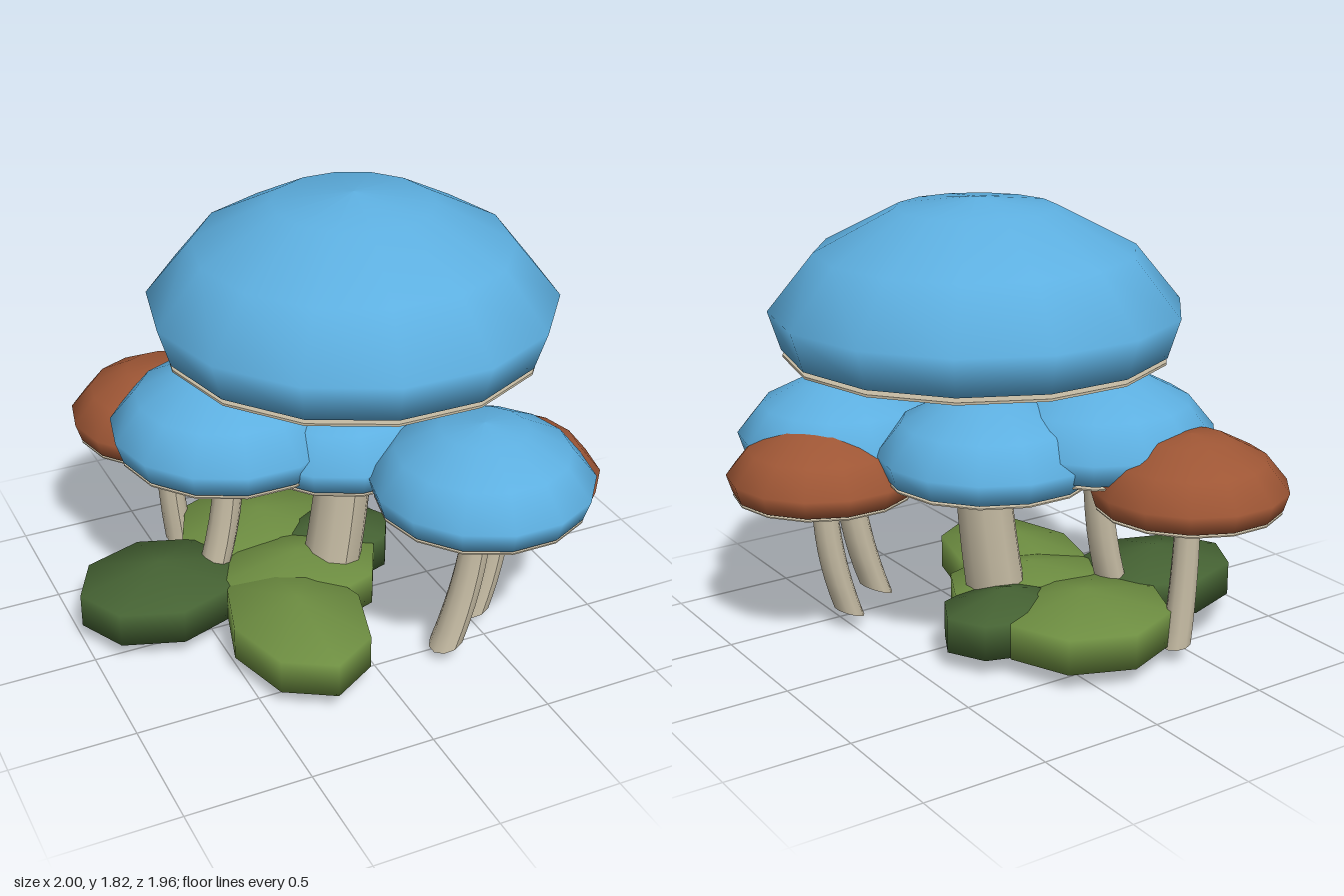
import * as THREE from 'three';

const mat = (name, color) => {
  const m = new THREE.MeshStandardMaterial({ color });
  m.name = name;
  return m;
};

// Unit cap outline, from the underside centre up to the crown
const CAP_PROFILE = [[0, -0.3], [0.56, -0.3], [0.94, -0.19], [1, 0], [0.775, 0.275], [0.39, 0.475], [0, 0.525]]
  .map(([r, y]) => new THREE.Vector2(r, y));

function add(parent, name, geometry, material, x = 0, y = 0, z = 0) {
  const mesh = new THREE.Mesh(geometry, material);
  mesh.name = name;
  mesh.position.set(x, y, z);
  parent.add(mesh);
  return mesh;
}

// Tapered stem whose foot sweeps sideways along x
function stemGeometry(height, rTop, rFoot, sweep) {
  const geo = new THREE.CylinderGeometry(rTop, rFoot, height, 10, 8);
  const p = geo.attributes.position;
  for (let i = 0; i < p.count; i++) {
    const u = 0.5 - p.getY(i) / height; // 0 at the cap, 1 at the foot
    const angle = Math.atan2(-2 * sweep * u, height);
    const x = p.getX(i);
    p.setXY(i, sweep * u * u + x * Math.cos(angle), -u * height - x * Math.sin(angle) * -1);
  }
  geo.computeVertexNormals();
  return geo;
}

export function createModel() {
  const group = new THREE.Group();
  group.name = 'mushroomCluster';

  const blue = mat('capBlue', 0x5dafe0);
  const brown = mat('capBrown', 0x9e5635);
  const cream = mat('stemCream', 0xc6bca4);
  const olive = mat('mossOlive', 0x6d8d41);
  const dark = mat('mossDark', 0x456233);

  // Mushrooms: cap centre, cap radius, stem radii and sideways sweep of the foot
  const mushrooms = [
    { name: 'mainMushroom', at: [0.13, 1.4, 0], r: 0.8, top: 0.1, foot: 0.13, sweep: -0.11, cap: blue },
    { name: 'leaningMushroom', at: [-0.33, 0.863, -0.175], r: 0.475, top: 0.057, foot: 0.075, sweep: -0.12, cap: blue },
    { name: 'middleMushroom', at: [0.1, 0.82, -0.04], r: 0.45, top: 0.06, foot: 0.07, sweep: -0.06, cap: blue },
    { name: 'frontMushroom', at: [0.42, 0.81, 0.55], r: 0.44, top: 0.055, foot: 0.074, sweep: -0.125, cap: blue },
    { name: 'backBrownMushroom', at: [-0.45, 0.735, -0.605], r: 0.39, top: 0.05, foot: 0.06, sweep: 0.04, cap: brown },
    { name: 'sideBrownMushroom', at: [0.61, 0.705, 0.395], r: 0.385, top: 0.05, foot: 0.065, sweep: -0.1, cap: brown },
  ];
  for (const m of mushrooms) {
    const shroom = new THREE.Group();
    shroom.name = m.name;
    shroom.position.set(...m.at);
    group.add(shroom);

    const cap = new THREE.LatheGeometry(CAP_PROFILE, 14, Math.PI / 2);
    cap.scale(m.r, m.r, m.r);
    add(shroom, 'cap', cap, m.cap);

    // Thin pale gill rim under the cap edge
    const rim = new THREE.CylinderGeometry(0.935 * m.r, 0.935 * m.r, 0.012 * m.r, 14);
    rim.rotateY(Math.PI / 2);
    add(shroom, 'gillRim', rim, cream, 0, -0.218 * m.r, 0);

    const stemTop = -0.22 * m.r;
    const height = m.at[1] + stemTop - 0.07;
    add(shroom, 'stem', stemGeometry(height, m.top, m.foot, m.sweep), cream, 0, stemTop, 0);
  }

  // Moss mounds: centre x, z and radii x, z
  const mounds = [
    [-0.66, -0.15, 0.34, 0.28, dark],
    [-0.25, 0.31, 0.27, 0.39, olive],
    [-0.11, 0, 0.35, 0.28, olive],
    [-0.13, -0.37, 0.35, 0.34, olive],
    [0.12, -0.18, 0.27, 0.21, dark],
  ];
  const ring = Math.sin(Math.PI / 3); // widest ring of a three-row sphere
  for (const [x, z, rx, rz, material] of mounds) {
    const geo = new THREE.SphereGeometry(1, 8, 3);
    geo.scale(rx / ring, 0.143, rz / ring);
    add(group, 'mossMound', geo, material, x, 0.146, z);
  }
  return group;
}
